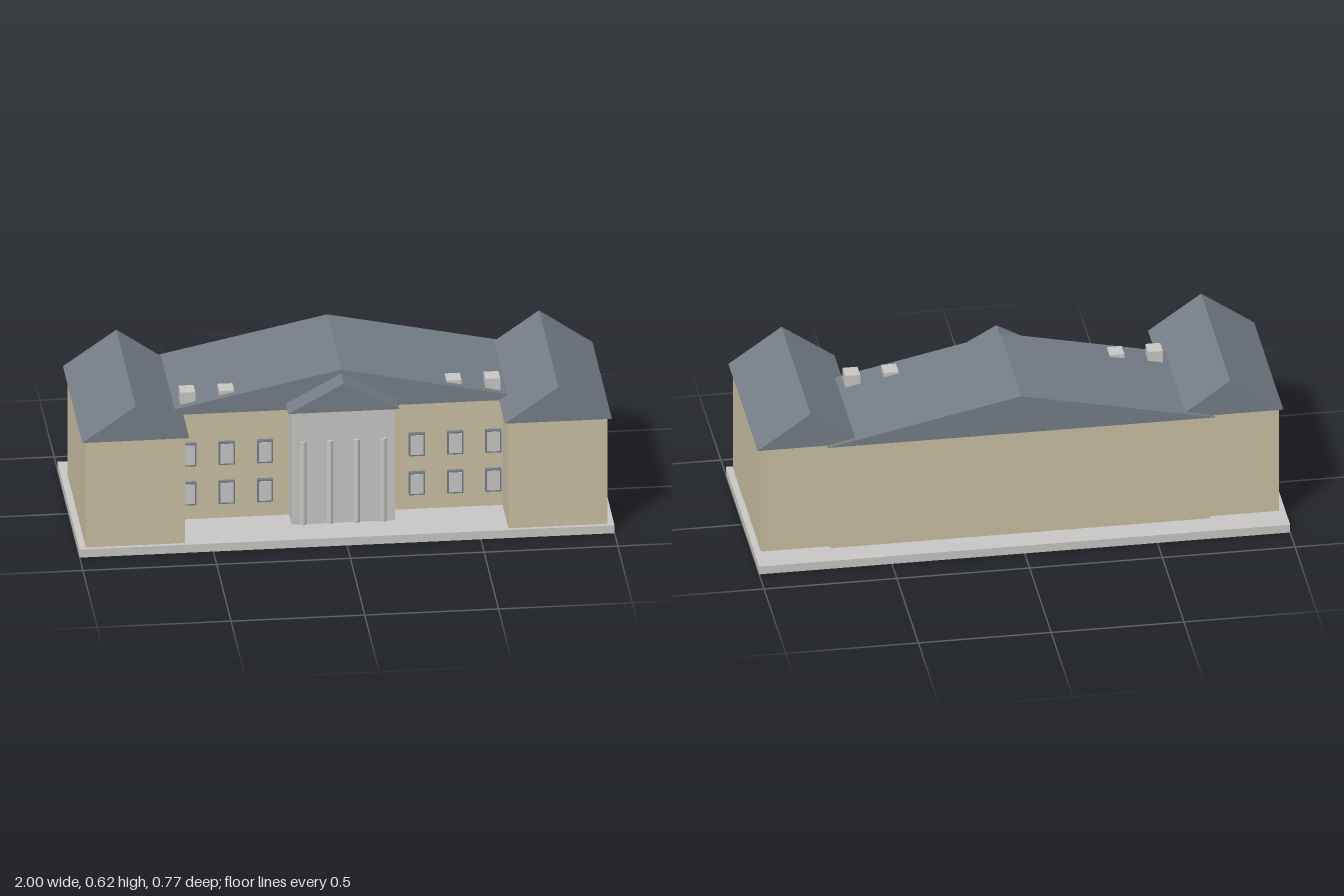
import * as THREE from 'three';

export function createModel() {
  const model = new THREE.Group();
  model.name = 'mansion';

  const material = (name, color) => {
    const m = new THREE.MeshStandardMaterial({ color });
    m.name = name;
    return m;
  };
  const stone = material('pale stone', 0xc9c7c5);
  const plaster = material('sand plaster', 0xcabfa3);
  const slate = material('slate', 0x757d86);

  const add = (name, geometry, mat) => {
    const mesh = new THREE.Mesh(geometry, mat);
    mesh.name = name;
    model.add(mesh);
    return mesh;
  };

  // Box given by its limits on each axis
  const box = (name, mat, [x0, x1], [y0, y1], [z0, z1]) => {
    const mesh = add(name, new THREE.BoxGeometry(x1 - x0, y1 - y0, z1 - z0), mat);
    mesh.position.set((x0 + x1) / 2, (y0 + y1) / 2, (z0 + z1) / 2);
  };

  // Solid gable roof with its ridge running along z
  const gable = (name, x, halfWidth, y0, y1, z0, z1) => {
    const shape = new THREE.Shape([
      new THREE.Vector2(-halfWidth, y0),
      new THREE.Vector2(halfWidth, y0),
      new THREE.Vector2(0, y1),
    ]);
    const geometry = new THREE.ExtrudeGeometry(shape, { depth: z1 - z0, bevelEnabled: false });
    add(name, geometry, slate).position.set(x, 0, z0);
  };

  const floor = 0.033;
  const eaves = 0.47;

  // Plinth and central block
  box('plinth', stone, [-1, 1], [0, floor], [-0.387, 0.387]);
  box('mainWalls', plaster, [-0.715, 0.715], [floor, eaves], [-0.29, 0.165]);
  gable('mainRoof', 0, 0.73, eaves, 0.625, -0.308, 0.18);

  // Entrance portico with columns
  box('portico', stone, [-0.193, 0.193], [floor, 0.495], [0.15, 0.255]);
  gable('porticoRoof', 0, 0.208, 0.495, 0.61, 0.15, 0.27);
  for (const x of [-0.15, -0.05, 0.05, 0.15]) {
    add('column', new THREE.CylinderGeometry(0.0125, 0.0125, 0.34, 12), stone)
      .position.set(x, floor + 0.17, 0.253);
  }

  for (const side of [-1, 1]) {
    // End wings
    const wing = side * 0.79;
    box('wingWalls', plaster, [wing - 0.185, wing + 0.185], [floor, eaves], [-0.275, 0.372]);
    gable('wingRoof', wing, 0.2, eaves, 0.61, -0.29, 0.387);

    // Two rows of windows, each a frame with a thin pane
    for (const offset of [0.284, 0.427, 0.57]) {
      const x = side * offset;
      for (const y of [0.142, 0.302]) {
        box('windowFrame', slate, [x - 0.03, x + 0.03], [y - 0.046, y + 0.046], [0.16, 0.18]);
        box('windowPane', stone, [x - 0.024, x + 0.024], [y - 0.04, y + 0.04], [0.177, 0.182]);
      }
    }

    // Chimneys
    for (const offset of [0.425, 0.57]) {
      const x = side * offset;
      box('chimney', stone, [x - 0.028, x + 0.028], [eaves + 0.01, 0.547], [0.088, 0.152]);
    }
  }
  return model;
}
